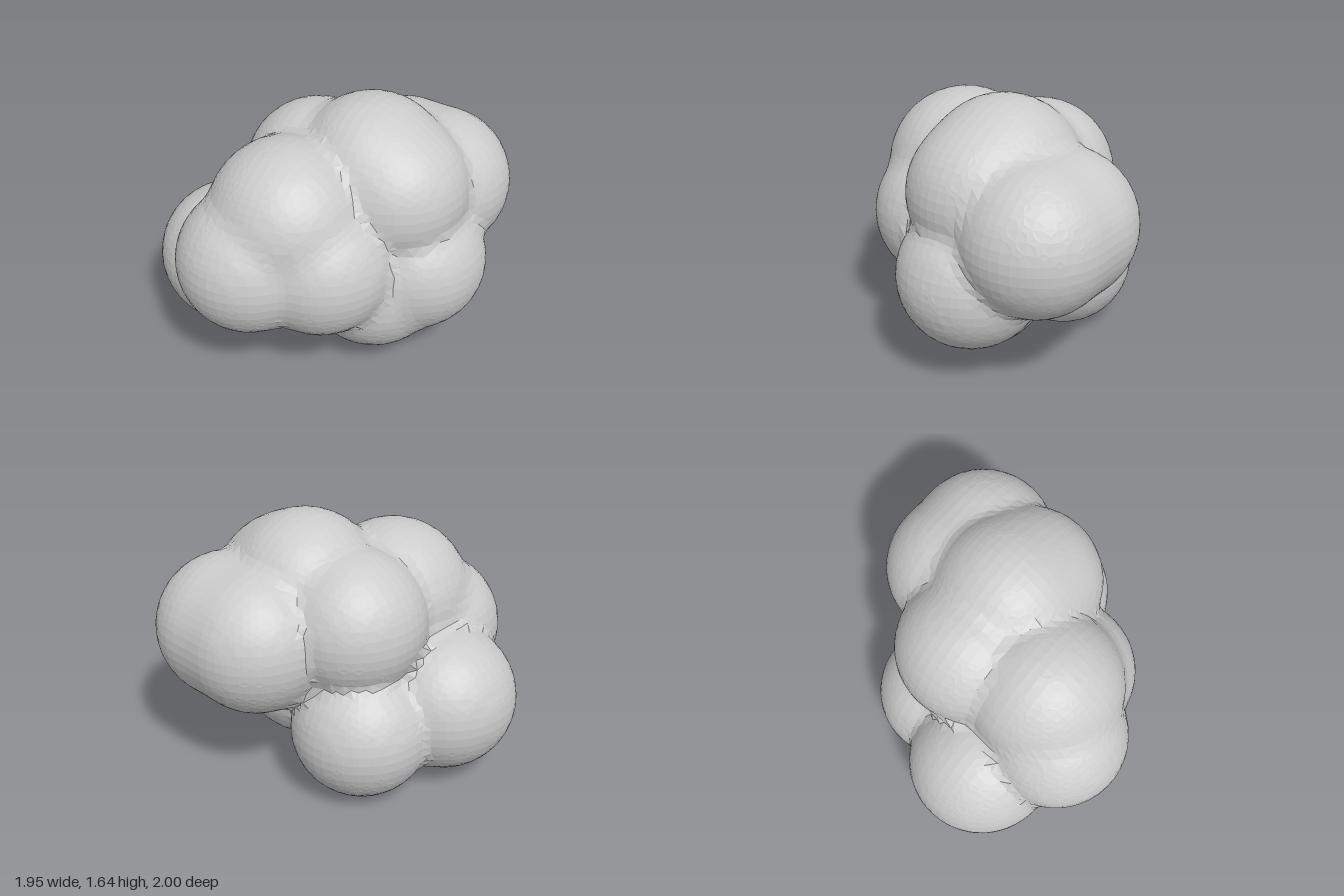
import * as THREE from 'three';

// Lobes of the lump: centre x, y, z and radius
const LOBES = [
  [-0.17, 0.79, 0.56, 0.44],  // front tip
  [-0.04, 1.02, 0.35, 0.48],  // front crown
  [0.17, 0.78, 0.33, 0.45],   // front, left side
  [-0.53, 0.52, 0.28, 0.45],  // low right side
  [-0.15, 1.05, -0.13, 0.45], // upper right shoulder
  [0.22, 1.17, -0.15, 0.47],  // top
  [0.38, 1.11, -0.13, 0.45],  // upper left shoulder
  [0.22, 0.97, -0.55, 0.45],  // back
  [0.45, 0.97, -0.55, 0.45],  // back, left side
  [0.53, 0.65, -0.15, 0.44],  // low left side
  [0.33, 0.52, -0.02, 0.45],  // underside, left
  [-0.31, 0.43, -0.21, 0.43], // foot
  [0.0, 0.72, 0.05, 0.48],    // core
];
const BLEND = 0.05;
const STEP = 0.06;

// Signed distance to the softly blended lobes
function field(x, y, z) {
  let d = Infinity;
  for (const [cx, cy, cz, r] of LOBES) {
    const s = Math.hypot(x - cx, y - cy, z - cz) - r;
    const h = Math.max(BLEND - Math.abs(d - s), 0) / BLEND;
    d = Math.min(d, s) - (h * h * BLEND) / 4;
  }
  return d;
}

// Moves a point along the field's slope onto the surface
function settle(p) {
  const e = 0.005;
  const d = field(p.x, p.y, p.z);
  const g = new THREE.Vector3(
    field(p.x + e, p.y, p.z) - field(p.x - e, p.y, p.z),
    field(p.x, p.y + e, p.z) - field(p.x, p.y - e, p.z),
    field(p.x, p.y, p.z + e) - field(p.x, p.y, p.z - e)
  );
  if (g.lengthSq() > 1e-9) p.addScaledVector(g.normalize(), -d);
}

// Quad skin of the field: one vertex per crossed cell, one quad per crossed edge
function skinGeometry() {
  const min = [-1.14, -0.14, -1.14];
  const size = [39, 33, 39];
  const stride = [1, size[0], size[0] * size[1]];
  const at = (axis, i) => min[axis] + i * STEP;
  const values = [];
  for (let k = 0; k < size[2]; k++)
    for (let j = 0; j < size[1]; j++)
      for (let i = 0; i < size[0]; i++) values.push(field(at(0, i), at(1, j), at(2, k)));

  const positions = [];
  const indices = [];
  const cells = new Map();

  // Vertex of a cell: the mean of its edge crossings, settled on the surface
  function vertex(cell) {
    const id = cell[0] + cell[1] * stride[1] + cell[2] * stride[2];
    if (cells.has(id)) return cells.get(id);
    const sum = new THREE.Vector3();
    let count = 0;
    for (let corner = 0; corner < 8; corner++) {
      const bits = [corner & 1, (corner >> 1) & 1, corner >> 2];
      const n = id + bits[0] + bits[1] * stride[1] + bits[2] * stride[2];
      for (let a = 0; a < 3; a++) {
        if (bits[a]) continue;
        const v0 = values[n];
        const v1 = values[n + stride[a]];
        if (v0 < 0 === v1 < 0) continue;
        const q = bits.map((b, axis) => at(axis, cell[axis] + b));
        q[a] += (STEP * v0) / (v0 - v1);
        sum.add(new THREE.Vector3(...q));
        count++;
      }
    }
    sum.divideScalar(count);
    settle(sum);
    positions.push(sum.x, sum.y, sum.z);
    cells.set(id, positions.length / 3 - 1);
    return positions.length / 3 - 1;
  }

  for (let k = 1; k < size[2] - 1; k++)
    for (let j = 1; j < size[1] - 1; j++)
      for (let i = 1; i < size[0] - 1; i++) {
        const p = [i, j, k];
        const n = i + j * stride[1] + k * stride[2];
        for (let a = 0; a < 3; a++) {
          const inside = values[n] < 0;
          if (inside === values[n + stride[a]] < 0) continue;
          const b = (a + 1) % 3;
          const c = (a + 2) % 3;
          const quad = [[0, 0], [1, 0], [1, 1], [0, 1]].map(([db, dc]) => {
            const cell = [...p];
            cell[b] -= db;
            cell[c] -= dc;
            return vertex(cell);
          });
          if (!inside) quad.reverse();
          indices.push(quad[0], quad[1], quad[2], quad[0], quad[2], quad[3]);
        }
      }

  const geometry = new THREE.BufferGeometry();
  geometry.setAttribute('position', new THREE.Float32BufferAttribute(positions, 3));
  geometry.setIndex(indices);
  geometry.computeVertexNormals();
  return geometry;
}

export function createModel() {
  const group = new THREE.Group();
  group.name = 'lobedLump';
  const material = new THREE.MeshStandardMaterial({ color: 0xcccccc, flatShading: true });
  const skin = new THREE.Mesh(skinGeometry(), material);
  skin.name = 'blendedLobes';
  group.add(skin);
  return group;
}
